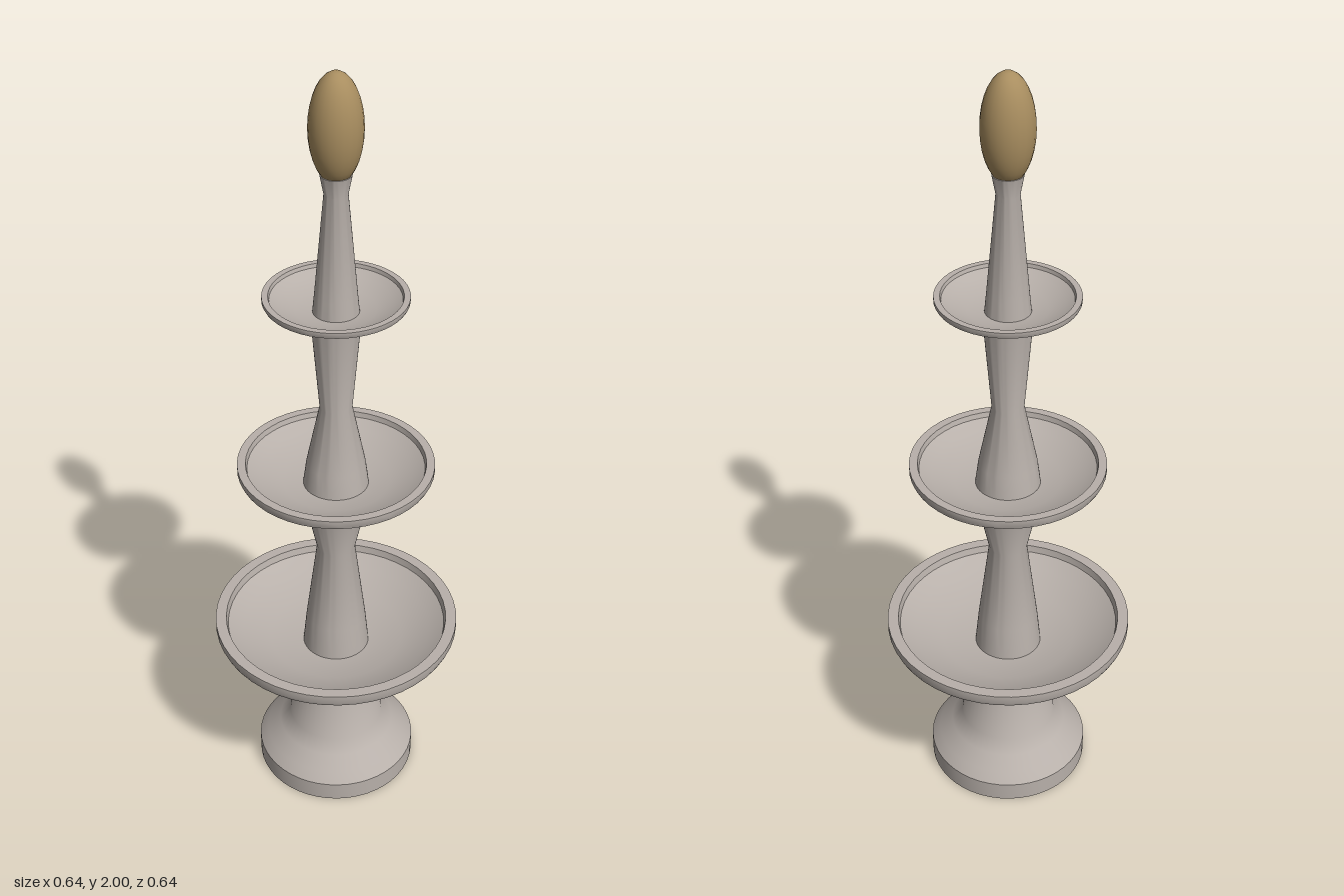
import * as THREE from 'three';
import { toCreasedNormals } from 'three/addons/utils/BufferGeometryUtils.js';

const SEGMENTS = 48;

// Turned part from [radius, height] pairs, listed from the bottom up the outside
function turned(name, profile, material) {
  const points = profile.map(([r, y]) => new THREE.Vector2(r, y));
  const geometry = toCreasedNormals(new THREE.LatheGeometry(points, SEGMENTS), 0.55);
  const mesh = new THREE.Mesh(geometry, material);
  mesh.name = name;
  return mesh;
}

export function createModel() {
  const group = new THREE.Group();
  group.name = 'tieredFountain';

  const stone = new THREE.MeshStandardMaterial({ color: 0xb8b0aa });
  stone.name = 'stone';
  const bronze = new THREE.MeshStandardMaterial({ color: 0xa98e60 });
  bronze.name = 'bronze';

  // Round plinth flaring into the pedestal
  group.add(turned('pedestal', [
    [0, 0], [0.212, 0], [0.212, 0.053], [0.19, 0.078], [0.155, 0.11],
    [0.127, 0.143], [0.095, 0.333], [0.127, 0.362], [0, 0.362],
  ], stone));

  // Three basins, each a shallow dish with a flat lip
  const basins = [
    { name: 'lowerBasin', foot: 0.127, r: 0.32, lip: 0.292, bottom: 0.36, floor: 0.4, top: 0.487, edge: 0.022 },
    { name: 'middleBasin', foot: 0.085, r: 0.246, lip: 0.225, bottom: 0.885, floor: 0.922, top: 0.985, edge: 0.016 },
    { name: 'upperBasin', foot: 0.06, r: 0.173, lip: 0.158, bottom: 1.39, floor: 1.415, top: 1.458, edge: 0.01 },
  ];
  for (const { name, foot, r, lip, bottom, floor, top, edge } of basins) {
    const drop = top - floor;
    group.add(turned(name, [
      [0, bottom], [foot, bottom], [r * 0.93, top - edge * 2], [r * 0.985, top - edge * 1.5],
      [r, top - edge], [r, top], [lip, top], [lip * 0.985, top - drop * 0.22],
      [lip * 0.85, top - drop * 0.5], [lip * 0.6, top - drop * 0.82], [lip * 0.3, floor], [0, floor],
    ], stone));
  }

  // Waisted columns between the basins
  group.add(turned('lowerColumn', [
    [0.088, 0.39], [0.078, 0.49], [0.049, 0.72], [0.085, 0.888],
  ], stone));
  group.add(turned('middleColumn', [
    [0.084, 0.91], [0.074, 0.985], [0.04, 1.15], [0.06, 1.392],
  ], stone));
  group.add(turned('upperColumn', [
    [0.057, 1.4], [0.051, 1.46], [0.028, 1.715], [0.037, 1.762], [0, 1.762],
  ], stone));

  // Egg-shaped finial
  const finial = new THREE.Mesh(new THREE.SphereGeometry(0.0625, 24, 16), bronze);
  finial.name = 'finial';
  finial.scale.y = 2.08;
  finial.position.y = 1.87;
  group.add(finial);

  return group;
}
